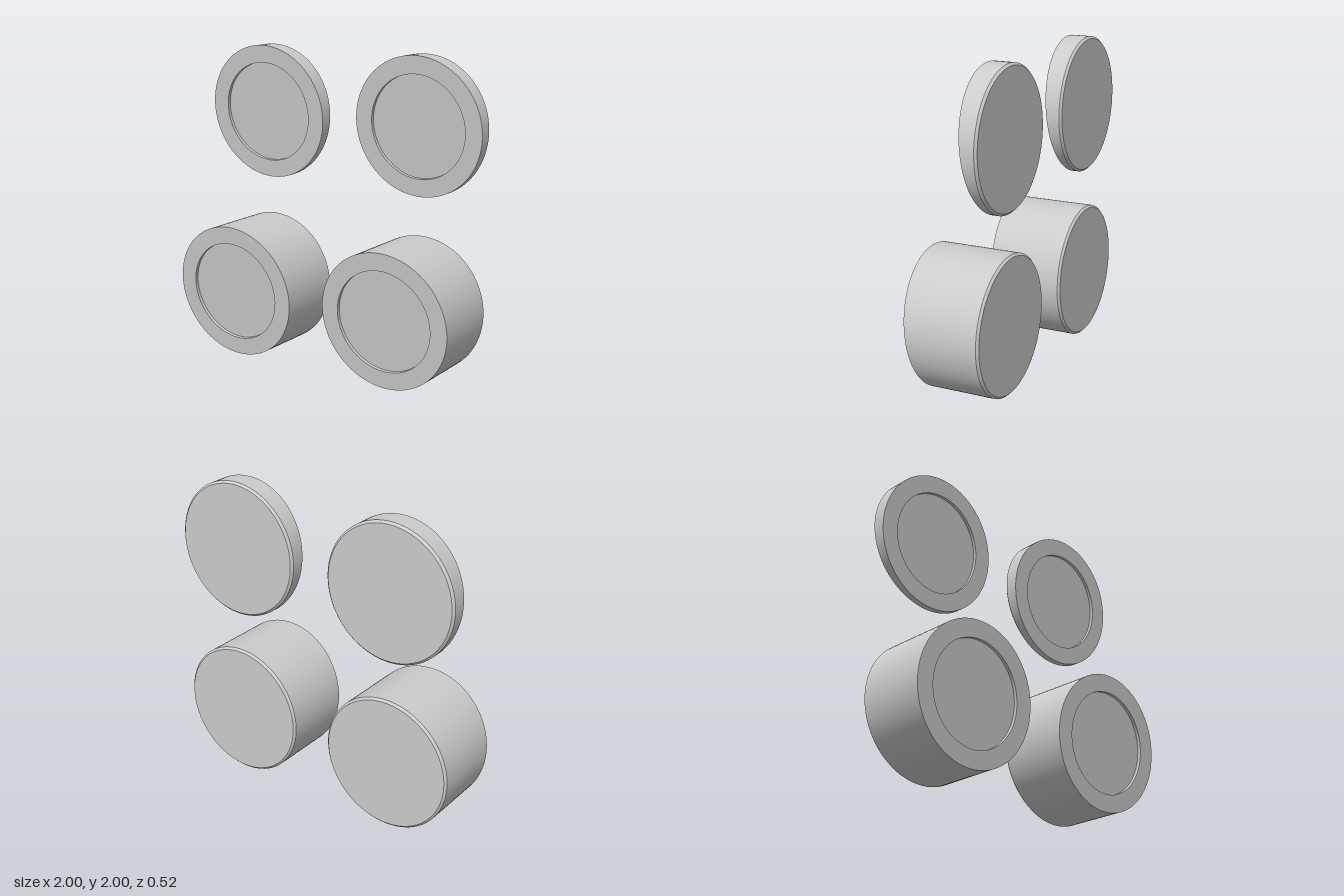
import * as THREE from 'three';
import { toCreasedNormals } from 'three/addons/utils/BufferGeometryUtils.js';

const R = 0.4365;          // foot radius
const RECESS_R = 0.324;    // radius of the shallow recess
const DEPTH = 0.022;       // recess depth
const BACK = -0.26;        // flat back plane
const CHAMFER = 0.014;     // bevel on the back rim
const SLOPE = Math.tan(THREE.MathUtils.degToRad(6)); // tilt of the front face

// Round pad along z: chamfered back, tilted front with a recess.
function padGeometry(front) {
  const profile = [
    [0, BACK], [R - CHAMFER, BACK], [R, BACK + CHAMFER], [R, front],
    [RECESS_R, front], [RECESS_R, front - DEPTH], [0, front - DEPTH],
  ].map(([r, z]) => new THREE.Vector2(r, z));
  const geometry = new THREE.LatheGeometry(profile, 96);
  geometry.rotateX(Math.PI / 2);

  // Tilt the front face and sink the recess square to it
  const p = geometry.attributes.position;
  for (let i = 0; i < p.count; i++) {
    const y = p.getY(i), z = p.getZ(i);
    if (z < BACK + CHAMFER + 0.005) continue;
    p.setZ(i, z + SLOPE * y);
    if (z < front - DEPTH / 2) p.setY(i, y + SLOPE * DEPTH);
  }
  return toCreasedNormals(geometry, 0.5);
}

export function createModel() {
  const group = new THREE.Group();
  group.name = 'wedgePadSet';
  const material = new THREE.MeshStandardMaterial({ color: 0xcccccc });

  // Thin pads in the upper row, thick pads in the lower row
  const rows = [
    { name: 'ThinPad', y: 2 - R, front: -0.16 },
    { name: 'ThickPad', y: R, front: 0.214 },
  ];
  for (const { name, y, front } of rows) {
    const geometry = padGeometry(front);
    for (const side of [-1, 1]) {
      const pad = new THREE.Mesh(geometry, material);
      pad.name = (side > 0 ? 'left' : 'right') + name;
      pad.position.set(side * (1 - R), y, 0);
      group.add(pad);
    }
  }
  return group;
}
